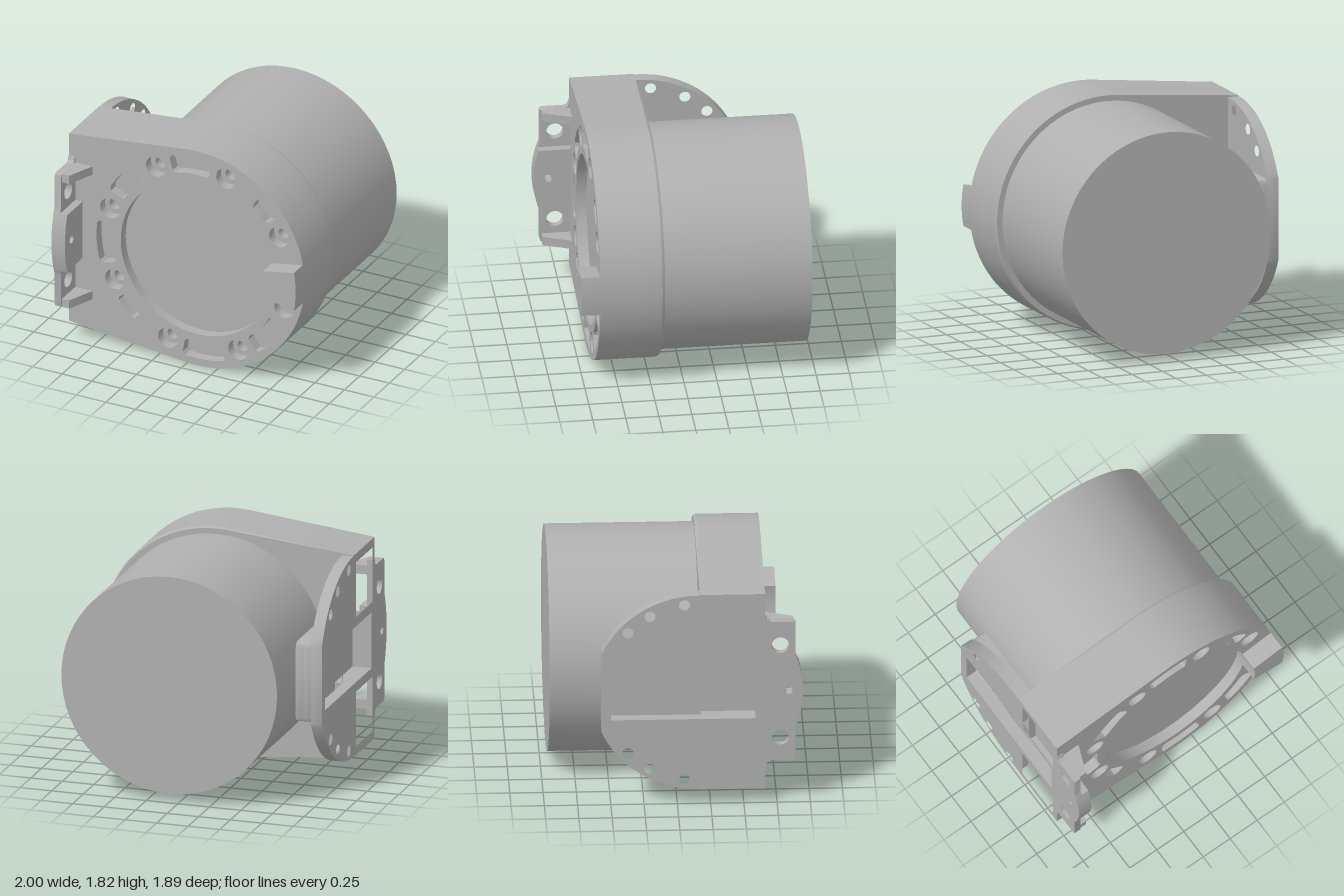
import * as THREE from 'three';
import { toCreasedNormals, mergeVertices } from 'three/addons/utils/BufferGeometryUtils.js';

const CX = 0.085, CY = 0.915, R = 0.91;   // main axis and plate radius
const FZ = 0.155, FR = 0.79;              // side flange centre (z) and radius
const rad = THREE.MathUtils.degToRad;

// Points on an arc, angles in degrees
function arc(cx, cy, r, a0, a1, n = 32) {
  return Array.from({ length: n + 1 }, (_, i) => {
    const a = rad(a0 + (a1 - a0) * i / n);
    return [cx + r * Math.cos(a), cy + r * Math.sin(a)];
  });
}
const circle = (cx, cy, r, n = 28) => arc(cx, cy, r, 0, 360 * (n - 1) / n, n - 1);
const rect = (u0, u1, v0, v1) => [[u0, v0], [u1, v0], [u1, v1], [u0, v1]];
const mirrorY = pts => pts.map(([u, v]) => [u, 2 * CY - v]).reverse();

function extrude(pts, holes, depth) {
  const v = list => list.map(([x, y]) => new THREE.Vector2(x, y));
  const shape = new THREE.Shape(v(pts));
  shape.holes = holes.map(h => new THREE.Path(v(h)));
  return new THREE.ExtrudeGeometry(shape, { depth, bevelEnabled: false });
}
// Outline in (x, y), running from z0 to z1
const alongZ = (pts, holes, z0, z1) => extrude(pts, holes, z1 - z0).translate(0, 0, z0);
// Outline in (z, y), running from x0 to x1
const alongX = (pts, holes, x0, x1) => {
  const flip = list => list.map(([z, y]) => [-z, y]);
  return extrude(flip(pts), holes.map(flip), x1 - x0).rotateY(Math.PI / 2).translate(x0, 0, 0);
};
// Outline in (x, z), running from y0 to y1
const alongY = (pts, y0, y1) => extrude(pts, [], y1 - y0).rotateX(Math.PI / 2).translate(0, y1, 0);

// Annular pocket with clipped corners
function slot(angle, half, r0, r1) {
  const d = 1.6, e = 0.02;
  const at = (r, a) => arc(CX, CY, r, a, a, 1)[0];
  return [
    ...arc(CX, CY, r1, angle - half + d, angle + half - d, 8),
    at(r1 - e, angle + half), at(r0 + e, angle + half),
    ...arc(CX, CY, r0, angle + half - d, angle - half + d, 8),
    at(r0 + e, angle - half), at(r1 - e, angle - half),
  ];
}

export function createModel() {
  const group = new THREE.Group();
  const metal = new THREE.MeshStandardMaterial({ color: 0xb0b0b0 });
  metal.name = 'greyMetal';
  const add = (name, geometry) => {
    const mesh = new THREE.Mesh(toCreasedNormals(geometry, rad(28)), metal);
    mesh.name = name;
    group.add(mesh);
  };

  // Mounting plate: a round end with two tangent sides
  const SX = -0.85, slope = 0.112;
  const sideY = 1.71 + slope * (SX + 1);
  const outline = [[SX, 2 * CY - sideY], ...arc(CX, CY, R, -96.4, 96.4, 56), [SX, sideY]];
  const screws = Array.from({ length: 8 }, (_, i) => arc(CX, CY, 0.776, 26.6 + 45 * i, 0, 1)[0]);
  const slots = [
    ...[94, 139, 184, 274, 319].map(a => slot(a, 12.3, 0.71, 0.85)),
    ...[43.5, 223.5].map(a => slot(a, 7, 0.73, 0.84)),
  ];
  add('plateFront', alongZ(outline,
    [circle(CX, CY, 0.645, 64), ...slots, ...screws.map(([x, y]) => circle(x, y, 0.083))], 0.58, 0.66));
  add('plateMiddle', alongZ(outline, screws.map(([x, y]) => circle(x, y, 0.045, 20)), 0.46, 0.58));
  add('plateBack', alongZ(outline, [], 0.19, 0.46));

  // Narrow chamfer on the rear edge
  const lip = alongZ(outline, [], 0.17, 0.19);
  const lp = lip.attributes.position;
  for (let i = 0; i < lp.count; i++) {
    if (lp.getZ(i) < 0.18 && lp.getX(i) > SX + 0.01) {
      lp.setX(i, CX + (lp.getX(i) - CX) * 0.987);
      lp.setY(i, CY + (lp.getY(i) - CY) * 0.987);
    }
  }
  add('plateChamfer', lip);

  // Motor drum behind the plate
  add('drum', new THREE.CylinderGeometry(0.855, 0.855, 1.13, 64)
    .rotateX(Math.PI / 2).translate(CX, CY, -0.385));

  // Locating key on the front rim
  add('frontKey', alongZ(
    [...arc(CX, CY, 0.91, -10.2, 10.2, 8), ...arc(CX, CY, 0.645, 10.2, -10.2, 8)], [], 0.65, 0.805));

  // Flat side of the plate, with pockets open to the side
  const py0 = 0.695, py1 = 1.135;
  const sideOutline = [[0.17, 0.12], [0.66, 0.12], [0.66, 1.71], [0.17, 1.71],
    [0.17, py1], [0.59, py1], [0.59, py0], [0.17, py0]];
  const upper = rect(0.22, 0.61, 1.21, 1.64);
  const side = alongX(sideOutline, [upper, mirrorY(upper)], -1, SX);
  const sp = side.attributes.position;
  for (let i = 0; i < sp.count; i++) {
    const dy = sp.getY(i) - CY;
    if (Math.abs(dy) > 0.78) sp.setY(i, sp.getY(i) + Math.sign(dy) * slope * (sp.getX(i) + 1));
  }
  add('plateSide', side);

  // Round side flange, cut flat at the rear
  const flat = rad(0) + THREE.MathUtils.radToDeg(Math.acos((-0.57 - FZ) / FR));
  const flange = [...arc(FZ, CY, FR, 89, flat, 24), ...arc(FZ, CY, FR, 360 - flat, 271, 24),
    [0.17, py0], [-0.5, py0], [-0.5, py1], [0.17, py1]];
  const flangeHoles = [98, 120, 137].flatMap(a => [a, -a])
    .map(a => arc(FZ, CY, 0.72, a, a, 1)[0])
    .map(([z, y]) => circle(z, y, 0.042, 20));
  add('sideFlange', alongX(flange, flangeHoles, -1, -0.91));

  // Pocket housing on the inner face of the flange
  const house = [[0.18, 0.6], [0.18, 1.23], [-0.53, 1.23], [-0.558, 1.218], [-0.57, 1.19],
    [-0.57, 0.64], [-0.558, 0.612], [-0.53, 0.6]];
  add('housingWall', alongX(house, [rect(-0.5, 0.17, py0, py1)], -0.91, SX));
  add('housingFloor', alongX(house, [], SX, -0.79));

  // Front bracket with bolt holes
  const half = [[0.65, 1.53], [0.665, 1.53], [0.675, 1.497], [0.70, 1.48], [0.87, 1.48],
    [0.885, 1.473], [0.89, 1.455]];
  const nose = arc(FZ, CY, FR, 21.5, -21.5, 20);
  const pin = circle(0.835, 0.92, 0.032, 20);
  add('frontBracket', alongX([...half, ...nose, ...mirrorY(half)],
    [circle(0.775, 1.29, 0.064), circle(0.775, 0.54, 0.064), pin], -1, -0.945));
  add('bracketPad', alongX([[0.65, 0.68], [0.65, 1.16], ...arc(FZ, CY, FR, 18, -18, 16)],
    [pin], -0.945, -0.885));

  // Tapered ribs at both ends of the bracket
  const rib = [[-0.95, 0.65], [-0.8, 0.65], [-0.8, 0.66], [-0.885, 0.875], [-0.95, 0.875]];
  for (const [y0, y1] of [[1.41, 1.48], [0.35, 0.42]]) add('bracketRib', alongY(rib, y0, y1));

  return group;
}
